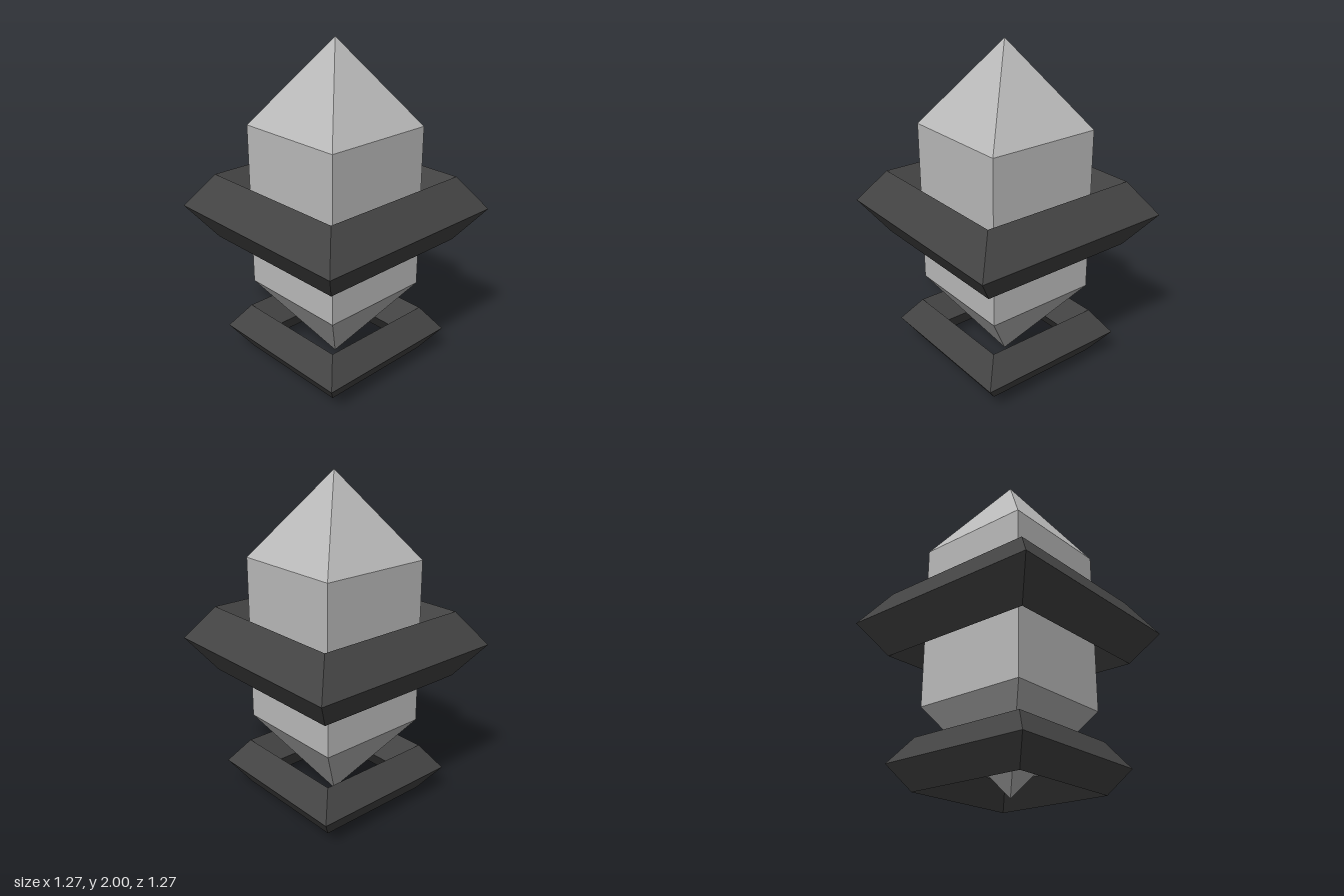
import * as THREE from 'three';

export function createModel() {
  const model = new THREE.Group();
  model.name = 'crystal';

  const crystalGrey = new THREE.MeshStandardMaterial({ color: 0xbbbbbb, flatShading: true });
  crystalGrey.name = 'light grey';
  const ringGrey = new THREE.MeshStandardMaterial({ color: 0x444444, flatShading: true });
  ringGrey.name = 'dark grey';

  const add = (name, geometry, material, y) => {
    const mesh = new THREE.Mesh(geometry, material);
    mesh.name = name;
    mesh.position.y = y;
    model.add(mesh);
  };

  // Square prism with a pyramid at each end (corner radius 0.5)
  const R = 0.5;
  const turn = Math.PI / 4;
  add('column', new THREE.CylinderGeometry(R, R, 1, 4, 1, true).rotateY(turn), crystalGrey, 1);
  add('topPoint', new THREE.CylinderGeometry(0, R, 0.5, 4, 1, true).rotateY(turn), crystalGrey, 1.75);
  add('bottomPoint', new THREE.CylinderGeometry(R, 0, 0.5, 4, 1, true).rotateY(turn), crystalGrey, 0.25);

  // Square rings with a diamond cross-section
  const ring = (scale) =>
    new THREE.TorusGeometry(0.7 * scale, 0.2 * scale, 4, 4).rotateX(Math.PI / 2).rotateY(turn);
  add('upperRing', ring(1), ringGrey, 1);
  add('lowerRing', ring(0.75), ringGrey, 0.175);

  return model;
}
